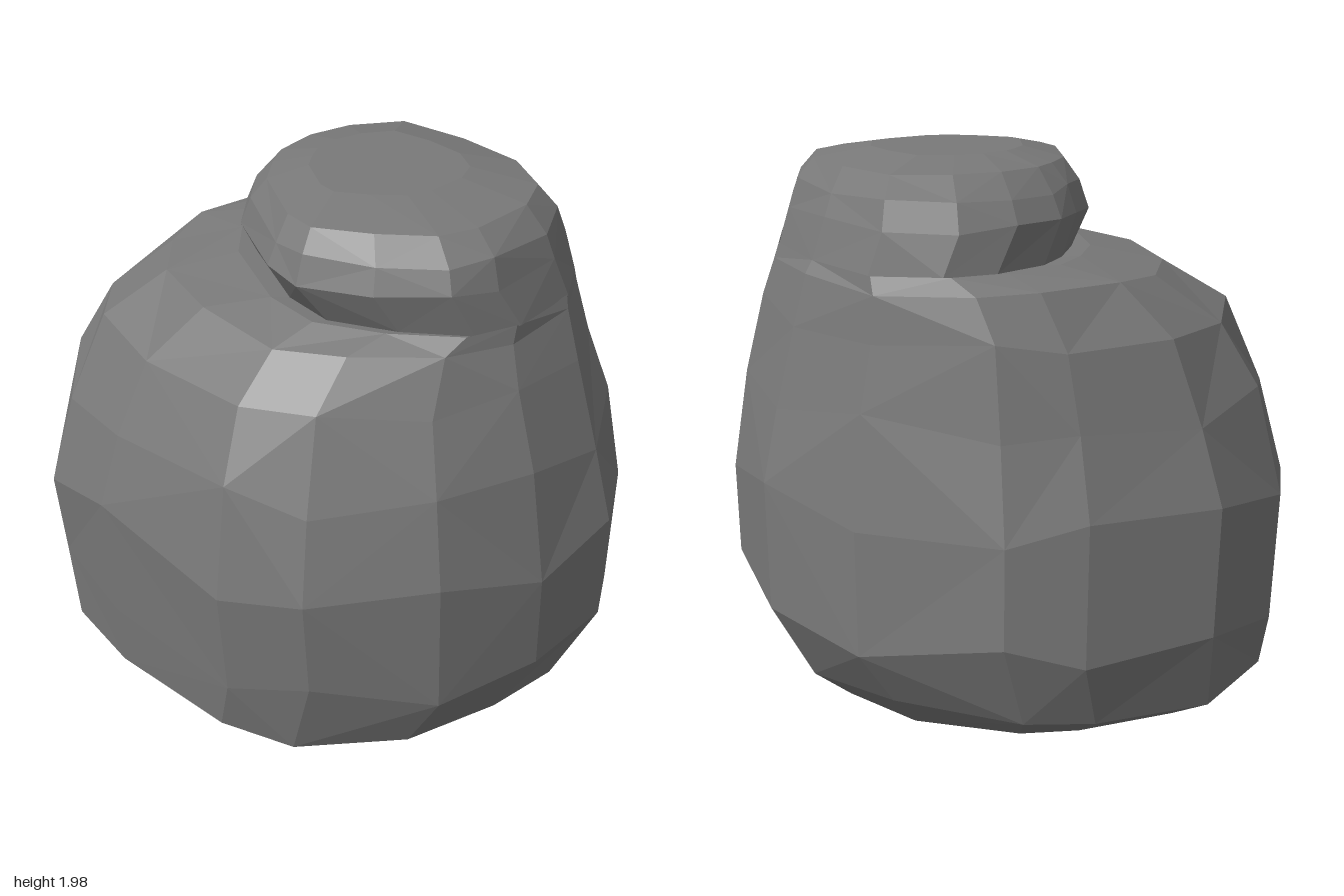
import * as THREE from 'three';

// Plan outlines (x, z), matched point for point, starting at the back and going towards +x
const bodyPlan = [[0, -1], [0.27, -0.95], [0.7, -0.66], [0.93, -0.25], [0.96, 0.28], [0.88, 0.6], [0.65, 0.87], [0.3, 0.99],
  [-0.1, 0.99], [-0.52, 0.82], [-0.73, 0.6], [-0.91, 0], [-0.965, -0.37], [-0.8, -0.72], [-0.48, -0.95]];
const neckPlan = [[0.1, -0.57], [0.3, -0.6], [0.53, -0.53], [0.65, -0.2], [0.71, 0.15], [0.65, 0.43], [0.5, 0.6], [0.22, 0.72],
  [0.05, 0.72], [-0.15, 0.58], [-0.33, 0.4], [-0.35, 0.23], [-0.27, -0.17], [-0.17, -0.34], [-0.08, -0.46]];

// Rings: height, xMin, xMax, zMin, zMax, blend from body plan to neck plan, height wobble
const bodyRings = [
  [0, -0.42, 0.42, -0.62, 0.48, 0, 0],
  [0.05, -0.77, 0.67, -0.75, 0.62, 0, 0],
  [0.17, -0.9, 0.805, -0.925, 0.875, 0, 0.02],
  [0.42, -0.925, 0.955, -1, 0.985, 0, 0.05],
  [0.83, -0.965, 0.96, -0.97, 1, 0, 0.05],
  [1.16, -0.88, 0.905, -0.89, 0.93, 0.06, 0.04],
  [1.43, -0.74, 0.842, -0.825, 0.83, 0.2, 0.02],
  [1.59, -0.52, 0.803, -0.735, 0.765, 0.5, 0.01],
  [1.64, -0.32, 0.785, -0.63, 0.752, 0.85, 0],
  [1.635, -0.26, 0.783, -0.605, 0.75, 0.9, 0],
];
// The neck starts on the body's last ring and leans out over it on the -x side only
const neckRings = [
  bodyRings[bodyRings.length - 1],
  [1.775, -0.352, 0.745, -0.575, 0.733, 1, 0.01],
  [1.865, -0.32, 0.712, -0.52, 0.7, 1, 0.01],
  [1.94, -0.265, 0.655, -0.42, 0.605, 1, 0],
  [1.98, -0.1, 0.46, -0.23, 0.35, 1, 0],
];

// Blend the plans, then fit the outline to the ring's extents
function ringPoints([y, x0, x1, z0, z1, blend, wobble], row) {
  const plan = bodyPlan.map((p, i) => p.map((v, k) => THREE.MathUtils.lerp(v, neckPlan[i][k], blend)));
  const fit = (k, lo, hi) => {
    const values = plan.map((p) => p[k]);
    const min = Math.min(...values), max = Math.max(...values);
    return values.map((v) => THREE.MathUtils.mapLinear(v, min, max, lo, hi));
  };
  const xs = fit(0, x0, x1), zs = fit(1, z0, z1);
  return xs.map((x, i) => [x, y + wobble * Math.sin(i * 2.3 + row * 1.9), zs[i]]);
}

// Faceted skin through the rings, with an optional flat cap at either end
function loft(name, rings, capBottom, capTop) {
  const loops = rings.map(ringPoints);
  const n = bodyPlan.length, last = loops.length - 1;
  const pos = [];
  const tri = (...points) => points.forEach((p) => pos.push(...p));
  for (let r = 0; r < last; r++) {
    for (let i = 0; i < n; i++) {
      const j = (i + 1) % n;
      const a = loops[r][i], b = loops[r][j], c = loops[r + 1][j], d = loops[r + 1][i];
      if ((i + r) % 2) { tri(a, c, b); tri(a, d, c); }
      else { tri(a, d, b); tri(b, d, c); }
    }
  }
  const centre = (loop) => [0, 1, 2].map((k) => loop.reduce((s, p) => s + p[k], 0) / n);
  for (let i = 0; i < n; i++) {
    const j = (i + 1) % n;
    if (capBottom) tri(centre(loops[0]), loops[0][i], loops[0][j]);
    if (capTop) tri(centre(loops[last]), loops[last][j], loops[last][i]);
  }
  const geometry = new THREE.BufferGeometry();
  geometry.setAttribute('position', new THREE.Float32BufferAttribute(pos, 3));
  geometry.computeVertexNormals();
  const mesh = new THREE.Mesh(geometry, new THREE.MeshStandardMaterial({ color: 0x797979, flatShading: true }));
  mesh.name = name;
  return mesh;
}

export function createModel() {
  const group = new THREE.Group();
  group.name = 'lumpySack';
  group.add(loft('body', bodyRings, true, false));
  group.add(loft('neck', neckRings, false, true));
  return group;
}
